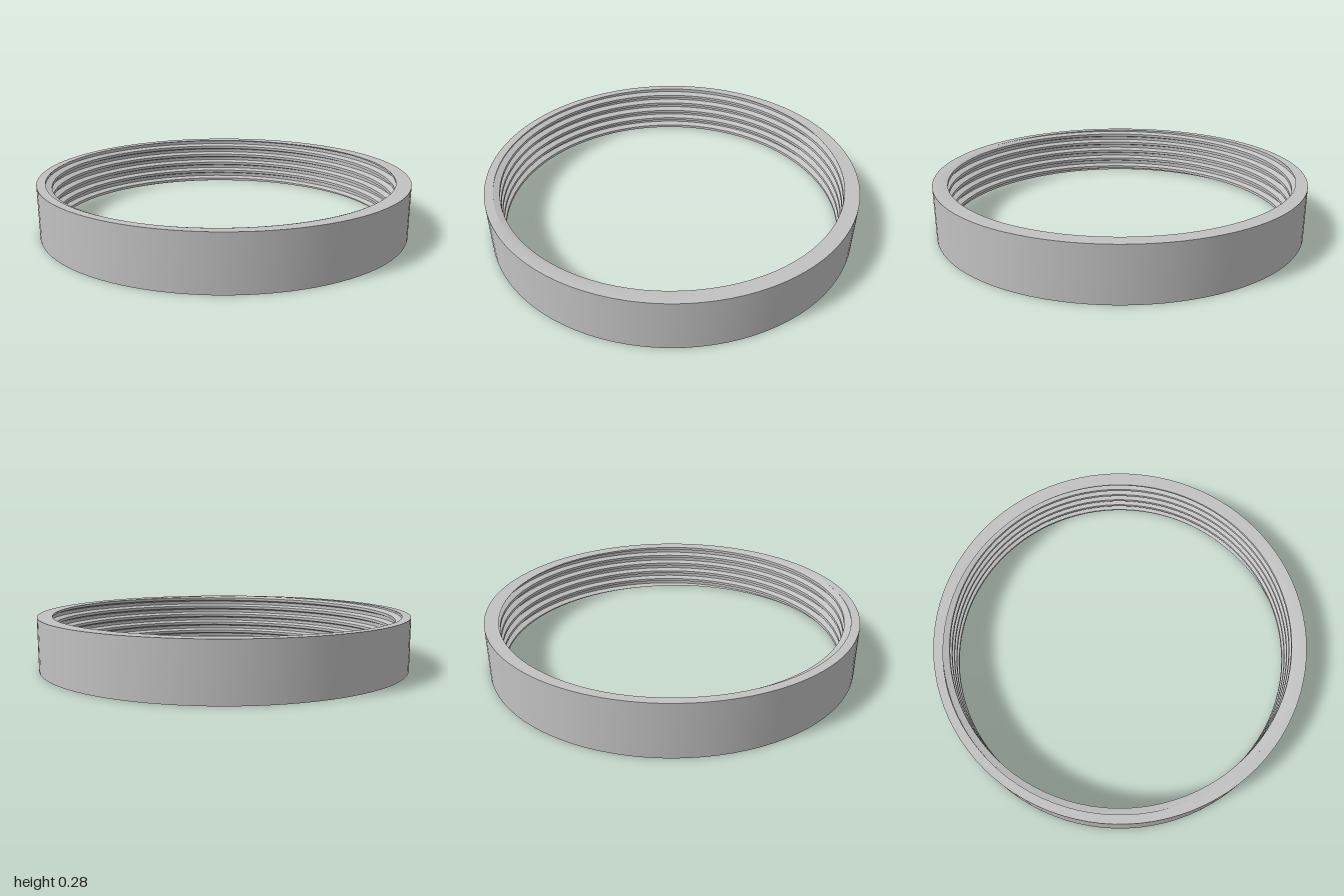
import * as THREE from 'three';
import { toCreasedNormals } from 'three/addons/utils/BufferGeometryUtils.js';

const HEIGHT = 0.28, OUTER = 1, ROOT = 0.955, CREST = 0.922;
const PITCH = 0.0565, SEGMENTS = 96;

// One turn of the thread: [fraction of the pitch, radius], starting mid-root
const PROFILE = [[0, ROOT], [0.17, ROOT], [0.36, CREST], [0.64, CREST], [0.83, ROOT], [1, ROOT]];

function threadRadius(u) {
  const f = u - Math.floor(u);
  for (let i = 1; i < PROFILE.length; i++) {
    const [u0, r0] = PROFILE[i - 1], [u1, r1] = PROFILE[i];
    if (f <= u1) return r0 + (r1 - r0) * (f - u0) / (u1 - u0);
  }
  return ROOT;
}

// Closed section at one angle: up the outside, then down the threaded inside
function section(turn) {
  const points = [[OUTER, 0], [OUTER, HEIGHT]];
  for (let k = 1; k >= -7; k--) {
    for (let p = 4; p >= 1; p--) {
      const height = HEIGHT + PITCH * (k + PROFILE[p][0] + turn - 0.5);
      const y = THREE.MathUtils.clamp(height, 0, HEIGHT);
      points.push([threadRadius((y - HEIGHT) / PITCH - turn + 0.5), y]);
    }
  }
  points.push([OUTER, 0]);
  return points;
}

function threadedRingGeometry() {
  const positions = [], index = [];
  let rows = 0;
  for (let i = 0; i <= SEGMENTS; i++) {
    const angle = i / SEGMENTS * Math.PI * 2;
    const points = section(i / SEGMENTS);
    rows = points.length;
    for (const [r, y] of points) positions.push(r * Math.cos(angle), y, -r * Math.sin(angle));
  }
  const at = (i, j) => new THREE.Vector3().fromArray(positions, (i * rows + j) * 3);
  // Skip slivers where the thread runs out at the rims
  const add = (...corners) => {
    const [a, b, c] = corners.map(([i, j]) => at(i, j));
    if (b.sub(a).cross(c.sub(a)).length() > 1e-9) index.push(...corners.map(([i, j]) => i * rows + j));
  };
  for (let i = 0; i < SEGMENTS; i++) {
    for (let j = 0; j < rows - 1; j++) {
      add([i, j], [i + 1, j], [i + 1, j + 1]);
      add([i, j], [i + 1, j + 1], [i, j + 1]);
    }
  }
  const geometry = new THREE.BufferGeometry();
  geometry.setAttribute('position', new THREE.Float32BufferAttribute(positions, 3));
  geometry.setIndex(index);
  return toCreasedNormals(geometry, 0.5);
}

export function createModel() {
  const group = new THREE.Group();
  group.name = 'threadedRing';
  const grey = new THREE.MeshStandardMaterial({ color: 0xc2c2c2 });
  grey.name = 'light grey';

  // Plain outer wall, flat rims and internal screw thread in one solid
  const ring = new THREE.Mesh(threadedRingGeometry(), grey);
  ring.name = 'ringWithInternalThread';
  group.add(ring);
  return group;
}
